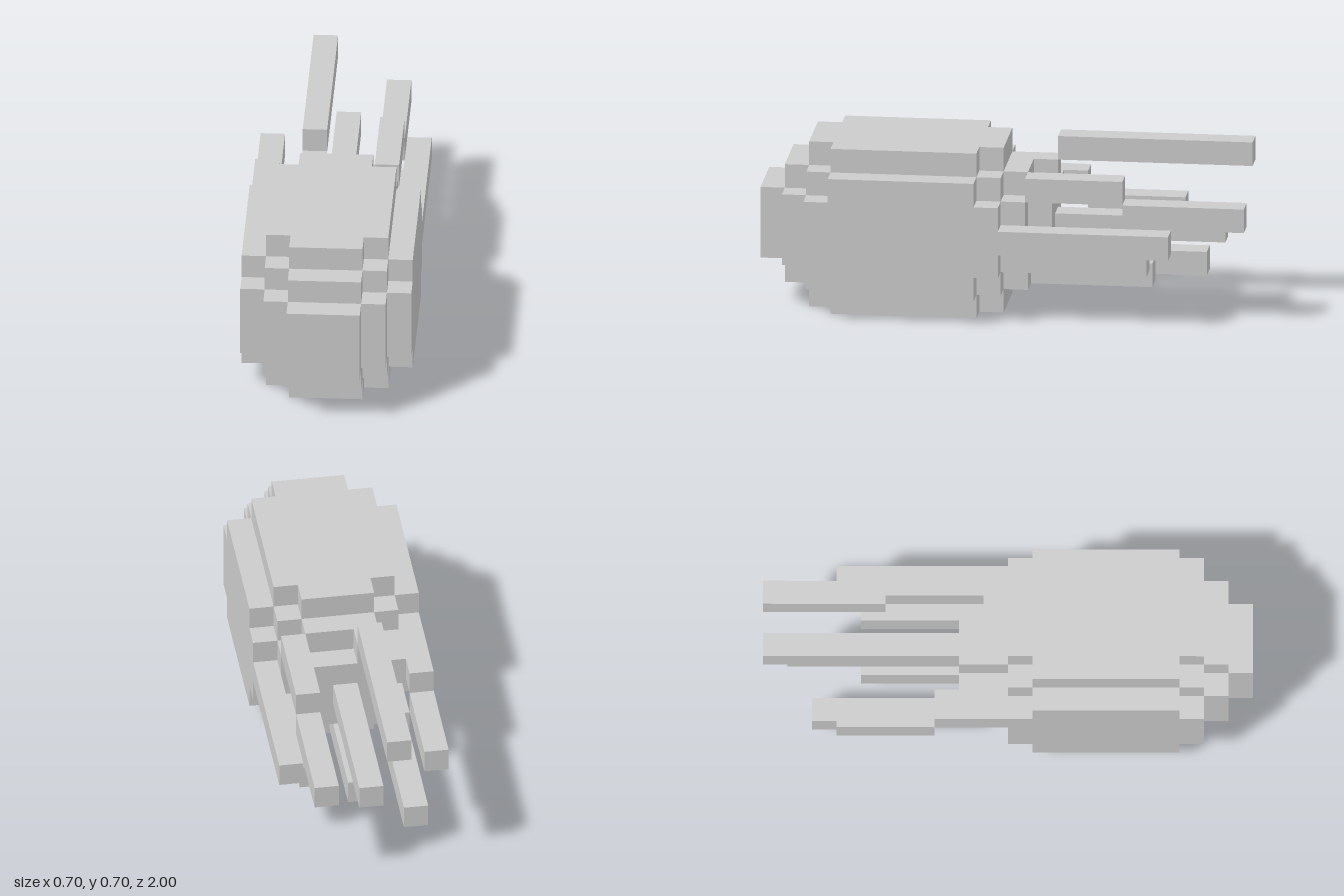
import * as THREE from 'three';

const material = new THREE.MeshStandardMaterial({ color: 0xcccccc, flatShading: true });
const CENTRE_Y = 0.35;

// Stepped outline from half sizes [halfWidth, halfHeight], widest step first
function steppedShape(steps) {
  const quarter = [];
  steps.forEach(([w, h], i) => {
    quarter.push([w, i ? steps[i - 1][1] : 0], [w, h]);
  });
  quarter.shift(); // drop the point on the axis
  const back = [...quarter].reverse();
  const outline = [
    ...quarter,
    ...back.map(([x, y]) => [-x, y]),
    ...quarter.map(([x, y]) => [-x, -y]),
    ...back.map(([x, y]) => [x, -y]),
  ];
  return new THREE.Shape(outline.map(([x, y]) => new THREE.Vector2(x, y)));
}

// Box between two corners
function block(name, [x0, y0, z0], [x1, y1, z1]) {
  const mesh = new THREE.Mesh(new THREE.BoxGeometry(x1 - x0, y1 - y0, z1 - z0), material);
  mesh.position.set((x0 + x1) / 2, (y0 + y1) / 2, (z0 + z1) / 2);
  mesh.name = name;
  return mesh;
}

export function createModel() {
  const model = new THREE.Group();
  model.name = 'blockCreature';

  // Rounded block body: slabs along z, the same towards both ends
  const body = new THREE.Group();
  body.name = 'body';
  const tip = [[0.15, 0.15]];
  const cap = [[0.25, 0.15], [0.15, 0.25]];
  const shoulder = [[0.35, 0.15], [0.25, 0.25], [0.15, 0.35]];
  const middle = [[0.35, 0.25], [0.25, 0.35]];
  const slabs = [
    [-0.2, -0.1, tip], [-0.1, 0, cap], [0, 0.1, shoulder], [0.1, 0.7, middle],
    [0.7, 0.8, shoulder], [0.8, 0.9, cap], [0.9, 1, tip],
  ];
  for (const [z0, z1, steps] of slabs) {
    const geometry = new THREE.ExtrudeGeometry(steppedShape(steps), { depth: z1 - z0, bevelEnabled: false });
    const mesh = new THREE.Mesh(geometry, material);
    mesh.position.set(0, CENTRE_Y, z0);
    mesh.name = 'bodySlab';
    body.add(mesh);
  }
  model.add(body);

  // Tentacles: 0.1 thick segments [x, y, zBack, zFront] by lower corner
  const tentacles = {
    upperRightTentacle: [[-0.15, 0.5, -0.2, -0.1], [-0.15, 0.6, -1, -0.2]],
    upperLeftTentacle: [[0.15, 0.5, -0.5, -0.1], [0.15, 0.4, -1, -0.5]],
    outerLeftTentacle: [[0.25, 0.3, -0.7, 0]],
    lowerLeftTentacle: [[0.15, 0.2, -0.6, -0.1]],
    middleTentacle: [[-0.05, 0.3, -0.9, -0.2]],
    bottomTentacle: [[-0.05, 0.1, -0.6, -0.1]],
    outerRightTentacle: [[-0.35, 0.4, -0.3, 0], [-0.25, 0.4, -0.2, -0.1], [-0.35, 0.3, -0.7, -0.3]],
    lowerRightTentacle: [[-0.25, 0.2, -0.3, -0.1], [-0.25, 0.1, -0.8, -0.3]],
  };
  for (const [name, segments] of Object.entries(tentacles)) {
    const group = new THREE.Group();
    group.name = name;
    for (const [x, y, z0, z1] of segments) {
      group.add(block('tentacleSegment', [x, y, z0], [x + 0.1, y + 0.1, z1]));
    }
    model.add(group);
  }
  return model;
}
